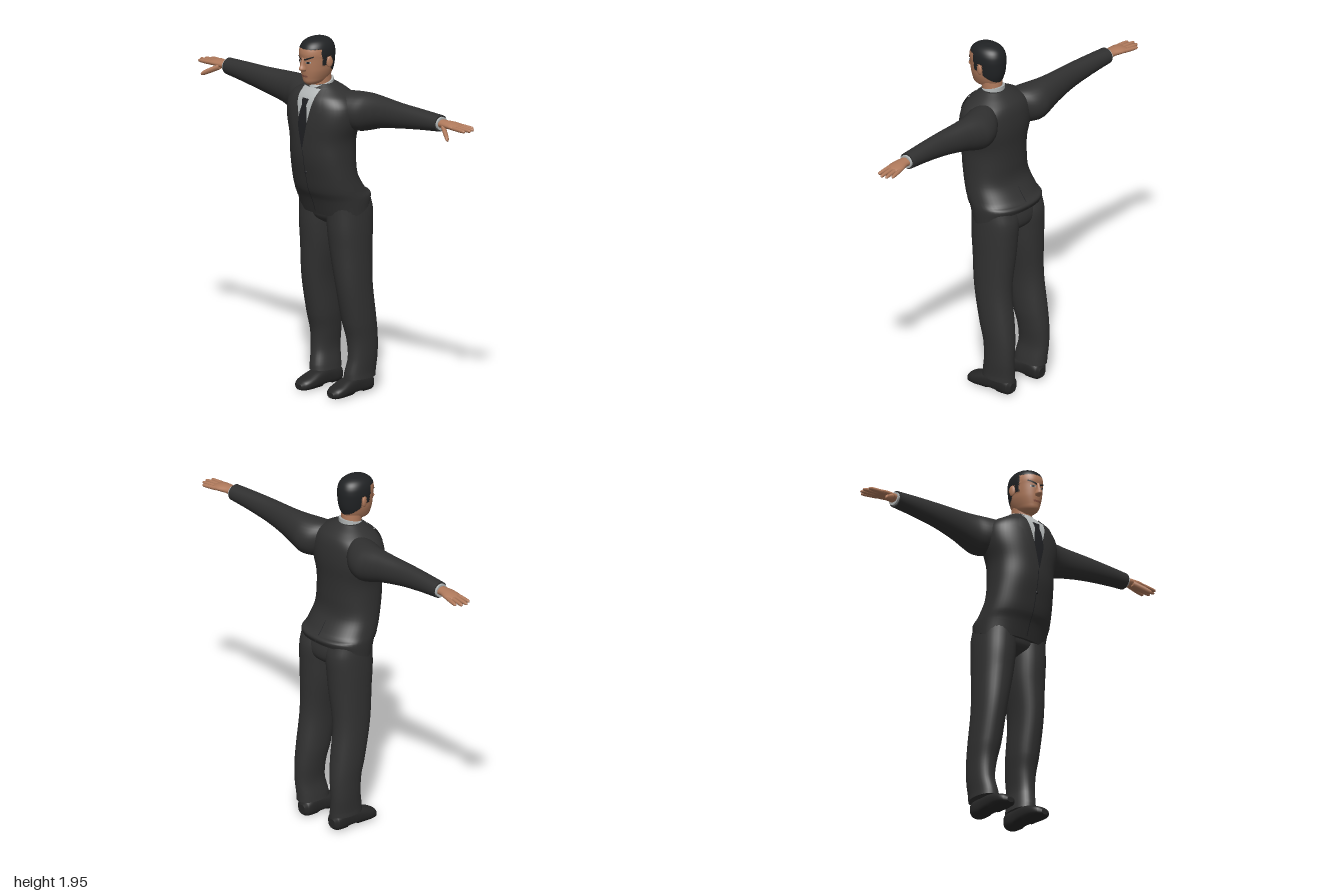
import * as THREE from 'three';

const mat = (name, color) => new THREE.MeshStandardMaterial({ name, color, side: THREE.DoubleSide });

// Smoothly interpolate cross-sections [s, centreU, centreV, radiusU, radiusV] along s.
function refine(rings, steps) {
  const last = rings.length - 1, out = [];
  const slope = (i, k) => {
    const a = rings[Math.max(i - 1, 0)], b = rings[Math.min(i + 1, last)];
    return (b[k] - a[k]) / (b[0] - a[0]);
  };
  for (let i = 0; i < last; i++) {
    const a = rings[i], b = rings[i + 1], d = b[0] - a[0];
    for (let q = 0; q < steps + (i === last - 1 ? 1 : 0); q++) {
      const t = q / steps, t2 = t * t, t3 = t2 * t, r = [a[0] + d * t];
      for (let k = 1; k < 5; k++) {
        r[k] = (2 * t3 - 3 * t2 + 1) * a[k] + (t3 - 2 * t2 + t) * d * slope(i, k)
          + (3 * t2 - 2 * t3) * b[k] + (t3 - t2) * d * slope(i + 1, k);
        if (k > 2) r[k] = Math.max(r[k], 0.001);
      }
      out.push(r);
    }
  }
  return out;
}

// Closed loft along an axis; U and V are the next two axes in cyclic order.
function loft(axis, rings, { n = 32, steps = 5, p = 2, warp } = {}) {
  const rows = refine(rings, steps), pos = [], idx = [], v = new THREE.Vector3();
  const A = 'xyz'.indexOf(axis), U = (A + 1) % 3, V = (A + 2) % 3;
  const pw = c => Math.sign(c) * Math.abs(c) ** (2 / p);
  const put = (r, f, a) => {
    v.setComponent(A, r[0]);
    v.setComponent(U, r[1] + f * r[3] * pw(Math.cos(a)));
    v.setComponent(V, r[2] + f * r[4] * pw(Math.sin(a)));
    if (warp) warp(v);
    pos.push(v.x, v.y, v.z);
  };
  const ring = (r, f = 1) => { for (let j = 0; j < n; j++) put(r, f, j / n * Math.PI * 2); };
  rows.forEach(r => ring(r));
  for (let i = 0; i < rows.length - 1; i++) for (let j = 0; j < n; j++) {
    const a = i * n + j, b = i * n + (j + 1) % n;
    idx.push(a, b, a + n, b, b + n, a + n);
  }
  [rows[0], rows[rows.length - 1]].forEach((r, e) => {
    const base = pos.length / 3;
    ring(r);
    put(r, 0, 0);
    for (let j = 0; j < n; j++) {
      const a = base + j, b = base + (j + 1) % n;
      idx.push(base + n, e ? a : b, e ? b : a);
    }
  });
  return finish(pos, idx);
}

function finish(pos, idx) {
  const g = new THREE.BufferGeometry();
  g.setAttribute('position', new THREE.Float32BufferAttribute(pos, 3));
  g.setIndex(idx);
  g.computeVertexNormals();
  return g;
}

// Depth of an upright loft's surface at (x, y); side = 1 front, -1 back.
function surface(rings, p, side = 1) {
  const rows = refine(rings, 8);
  return (x, y) => {
    let i = 0;
    while (i < rows.length - 2 && rows[i + 1][0] < y) i++;
    const a = rows[i], b = rows[i + 1];
    const t = THREE.MathUtils.clamp((y - a[0]) / (b[0] - a[0]), 0, 1);
    const r = a.map((w, k) => w + (b[k] - w) * t);
    const q = Math.min(Math.abs(x - r[2]) / r[4], 1);
    return r[1] + side * r[3] * (1 - q ** p) ** (1 / p);
  };
}

// Thin sheet lying on a surface; rows run top to bottom as [xL, yL, xR, yR].
function patch(depth, rows, off, cols = 8, sub = 6) {
  const pos = [], idx = [], total = (rows.length - 1) * sub, w = cols + 1;
  for (let i = 0; i <= total; i++) {
    const k = Math.min(Math.floor(i / sub), rows.length - 2), t = i / sub - k;
    const r = rows[k].map((a, m) => a + (rows[k + 1][m] - a) * t);
    for (let j = 0; j <= cols; j++) {
      const x = r[0] + (r[2] - r[0]) * j / cols, y = r[1] + (r[3] - r[1]) * j / cols;
      pos.push(x, y, depth(x, y) + off);
      if (i < total && j < cols) {
        const a = i * w + j;
        idx.push(a, a + w, a + 1, a + 1, a + w, a + w + 1);
      }
    }
  }
  return finish(pos, idx);
}

function mirrored(g) {
  const m = g.clone().scale(-1, 1, 1), ix = m.index.array;
  for (let i = 0; i < ix.length; i += 3) [ix[i], ix[i + 1]] = [ix[i + 1], ix[i]];
  m.computeVertexNormals();
  return m;
}

export function createModel() {
  const model = new THREE.Group();
  model.name = 'suitedMan';
  const suit = mat('suit', 0x303030), trousers = mat('trousers', 0x323232), shoe = mat('shoe', 0x262626);
  const skin = mat('skin', 0xb07a5c), hair = mat('hair', 0x202224), shirt = mat('shirt', 0xb2b6b6);
  const dark = mat('tie', 0x1f2023), lip = mat('lips', 0x8a5444);
  const add = (name, g, m) => {
    const o = new THREE.Mesh(g, m);
    o.name = name;
    model.add(o);
  };
  const both = (name, g, m) => { add(name + 'Left', g, m); add(name + 'Right', mirrored(g), m); };

  // Jacket body: hem rises toward the back
  const torso = [[0.985, -0.055, 0, 0.14, 0.205], [1.07, -0.045, 0, 0.16, 0.206], [1.12, -0.012, 0, 0.152, 0.2],
    [1.2, 0.022, 0, 0.138, 0.19], [1.3, 0.035, 0, 0.145, 0.184], [1.4, 0.036, 0, 0.148, 0.186],
    [1.5, 0.031, 0, 0.151, 0.213], [1.58, 0.028, 0, 0.143, 0.213], [1.63, 0.027, 0, 0.127, 0.18],
    [1.665, 0.028, 0, 0.097, 0.122], [1.695, 0.035, 0, 0.06, 0.07]];
  const hem = v => {
    const t = THREE.MathUtils.clamp((1.1 - v.y) / 0.115, 0, 1);
    v.y += t * 0.07 * THREE.MathUtils.smoothstep(-v.z, -0.02, 0.2);
  };
  add('jacketBody', loft('y', torso, { n: 48, p: 2.25, warp: hem }), suit);
  const chest = surface(torso, 2.25), back = surface(torso, 2.25, -1);

  // Shirt front, tie, lapels, seams and pocket flaps
  const band = (y, a, b = -a) => [Math.min(a, b), y, Math.max(a, b), y];
  add('shirtFront', patch(chest, [band(1.675, 0.068), band(1.6, 0.058), band(1.53, 0.034), band(1.46, 0.02)], 0.003), shirt);
  add('tie', patch(chest, [band(1.625, 0.024), band(1.59, 0.016), band(1.55, 0.026), band(1.46, 0.034), band(1.35, 0.002)], 0.007), dark);
  both('lapel', patch(chest, [band(1.68, 0.06, 0.085), band(1.62, 0.056, 0.105), band(1.575, 0.048, 0.12),
    band(1.56, 0.045, 0.098), band(1.46, 0.025, 0.07), band(1.35, 0, 0.018)], 0.009), suit);
  add('frontSeam', patch(chest, [band(1.35, 0.002), band(1.2, 0.002), band(1.0, 0.002)], 0.002, 2), dark);
  both('pocketFlap', patch(chest, [[0.09, 1.085, 0.175, 1.1], [0.09, 1.05, 0.175, 1.065]], 0.004), suit);
  add('backVent', patch(back, [band(1.17, 0.001), band(1.07, 0.003)], -0.003, 2), dark);
  const button = new THREE.SphereGeometry(0.008, 12, 8).scale(1, 1, 0.5);
  add('button', button.translate(0.004, 1.225, chest(0, 1.225) + 0.002), dark);

  // Sleeves and cuffs
  both('sleeve', loft('x', [[0.1, 1.575, -0.01, 0.08, 0.07], [0.16, 1.56, -0.025, 0.1, 0.1], [0.22, 1.558, -0.04, 0.105, 0.1],
    [0.28, 1.566, -0.048, 0.098, 0.082], [0.36, 1.577, -0.048, 0.084, 0.066], [0.5, 1.588, -0.042, 0.068, 0.053],
    [0.65, 1.597, -0.045, 0.055, 0.047], [0.785, 1.602, -0.05, 0.044, 0.045]]), suit);
  both('cuff', loft('x', [[0.77, 1.602, -0.05, 0.036, 0.039], [0.796, 1.602, -0.05, 0.035, 0.038]]), shirt);

  // Hands
  both('palm', loft('x', [[0.78, 1.602, -0.05, 0.024, 0.03], [0.82, 1.605, -0.05, 0.021, 0.034],
    [0.87, 1.605, -0.056, 0.019, 0.044], [0.905, 1.603, -0.058, 0.013, 0.043], [0.915, 1.602, -0.058, 0.006, 0.036]], { n: 20 }), skin);
  const finger = (a, b, r) => loft('x', [0, 0.5, 0.85, 0.96, 1].map((t, i) => {
    const c = a.map((w, k) => w + (b[k] - w) * t), q = r * [1, 0.95, 0.8, 0.55, 0.1][i];
    return [...c, q, q];
  }), { n: 12, steps: 3 });
  [[-0.09, 0.968, -0.108], [-0.069, 0.993, -0.085], [-0.047, 1, -0.057], [-0.026, 0.985, -0.028]].forEach(([z, x, tz], i) =>
    both('finger' + (i + 1), finger([0.88, 1.603, z], [x, 1.598, tz], 0.0115), skin));
  both('thumb', finger([0.825, 1.595, -0.028], [0.912, 1.548, 0.025], 0.016), skin);

  // Trousers
  both('trouserLeg', loft('y', [[0.088, -0.108, 0.126, 0.097, 0.062], [0.12, -0.11, 0.128, 0.096, 0.06], [0.2, -0.12, 0.137, 0.09, 0.058],
    [0.3, -0.118, 0.134, 0.092, 0.066], [0.4, -0.1, 0.13, 0.1, 0.075], [0.6, -0.068, 0.125, 0.108, 0.08],
    [0.8, -0.062, 0.108, 0.122, 0.097], [0.9, -0.06, 0.1035, 0.13, 0.102], [1, -0.06, 0.099, 0.133, 0.104],
    [1.07, -0.05, 0.098, 0.125, 0.1]], { p: 2.2 }), trousers);
  add('trouserSeat', loft('y', [[0.91, -0.06, 0, 0.05, 0.03], [0.95, -0.06, 0, 0.112, 0.13], [1, -0.06, 0, 0.128, 0.185],
    [1.07, -0.05, 0, 0.128, 0.19]], { p: 2.2 }), trousers);

  // Shoes with a raised heel and arch
  both('shoe', loft('z', [[-0.198, 0.115, 0.045, 0.022, 0.025], [-0.18, 0.115, 0.05, 0.045, 0.045], [-0.1, 0.115, 0.05, 0.046, 0.052],
    [-0.02, 0.115, 0.045, 0.053, 0.046], [0.04, 0.117, 0.034, 0.055, 0.035], [0.08, 0.118, 0.026, 0.043, 0.026],
    [0.097, 0.118, 0.02, 0.02, 0.014]], {
    p: 2.5,
    warp: v => { v.y = Math.max(v.y, v.z < -0.1 ? 0.01 : v.z < -0.045 ? 0.02 : 0); },
  }), shoe);

  // Neck and collar
  add('neck', loft('y', [[1.62, 0.05, 0, 0.055, 0.053], [1.7, 0.05, 0, 0.056, 0.052], [1.78, 0.06, 0, 0.062, 0.054]]), skin);
  add('collar', loft('y', [[1.635, 0.068, 0, 0.086, 0.076], [1.67, 0.056, 0, 0.075, 0.067], [1.703, 0.045, 0, 0.066, 0.06]], {
    warp: v => { v.y -= (v.z - 0.045) * 0.25; },
  }), shirt);

  // Head: [height, front, back, half width], hair chosen by a hairline rule
  const head = [[1.695, 0.145, 0.07, 0.02], [1.71, 0.164, 0.03, 0.042], [1.735, 0.171, 0, 0.056], [1.77, 0.177, -0.015, 0.068],
    [1.8, 0.18, -0.022, 0.073], [1.84, 0.182, -0.025, 0.077], [1.87, 0.185, -0.025, 0.078], [1.9, 0.177, -0.018, 0.073],
    [1.925, 0.155, 0, 0.058], [1.94, 0.12, 0.03, 0.034], [1.946, 0.08, 0.065, 0.004]]
    .map(([y, f, b, w]) => [y, (f + b) / 2, 0, (f - b) / 2, w]);
  const isHair = (y, z) => y > 1.895 || (z < 0.118 && y > 1.85) || (z < 0.112 && z > 0.085 && y > 1.805)
    || (z < 0.055 && y > 1.735 + (z + 0.02) * 0.7);
  const headGeo = loft('y', head, { n: 72, steps: 8, p: 2.15, warp: v => { if (isHair(v.y, v.z)) v.x *= 1.03; } });
  const P = headGeo.attributes.position, ix = headGeo.index.array, parts = [[], []];
  for (let i = 0; i < ix.length; i += 3) {
    const t = [ix[i], ix[i + 1], ix[i + 2]];
    const mean = f => t.reduce((s, k) => s + f(k), 0) / 3;
    parts[isHair(mean(k => P.getY(k)), mean(k => P.getZ(k))) ? 1 : 0].push(...t);
  }
  headGeo.setIndex([...parts[0], ...parts[1]]);
  headGeo.addGroup(0, parts[0].length, 0);
  headGeo.addGroup(parts[0].length, parts[1].length, 1);
  add('headAndHair', headGeo, [skin, hair]);

  // Facial features
  const face = surface(head, 2.15);
  add('nose', loft('y', [[1.774, 0.176, 0, 0.01, 0.012], [1.787, 0.183, 0, 0.026, 0.018], [1.81, 0.181, 0, 0.019, 0.011],
    [1.848, 0.178, 0, 0.01, 0.008]], { n: 20 }), skin);
  both('eyebrow', patch(face, [[0.011, 1.843, 0.056, 1.861], [0.011, 1.833, 0.056, 1.854]], 0.004), hair);
  both('eye', patch(face, [[0.018, 1.828, 0.044, 1.831], [0.018, 1.82, 0.044, 1.822]], 0.002), shirt);
  both('iris', patch(face, [[0.024, 1.83, 0.038, 1.832], [0.024, 1.819, 0.038, 1.82]], 0.004), dark);
  add('mouth', patch(face, [[-0.024, 1.752, 0.024, 1.752], [-0.02, 1.742, 0.02, 1.742]], 0.003), lip);
  const ear = new THREE.SphereGeometry(1, 16, 12).scale(0.009, 0.03, 0.019).rotateY(-0.3);
  both('ear', ear.translate(0.081, 1.82, 0.068), skin);

  return model;
}
